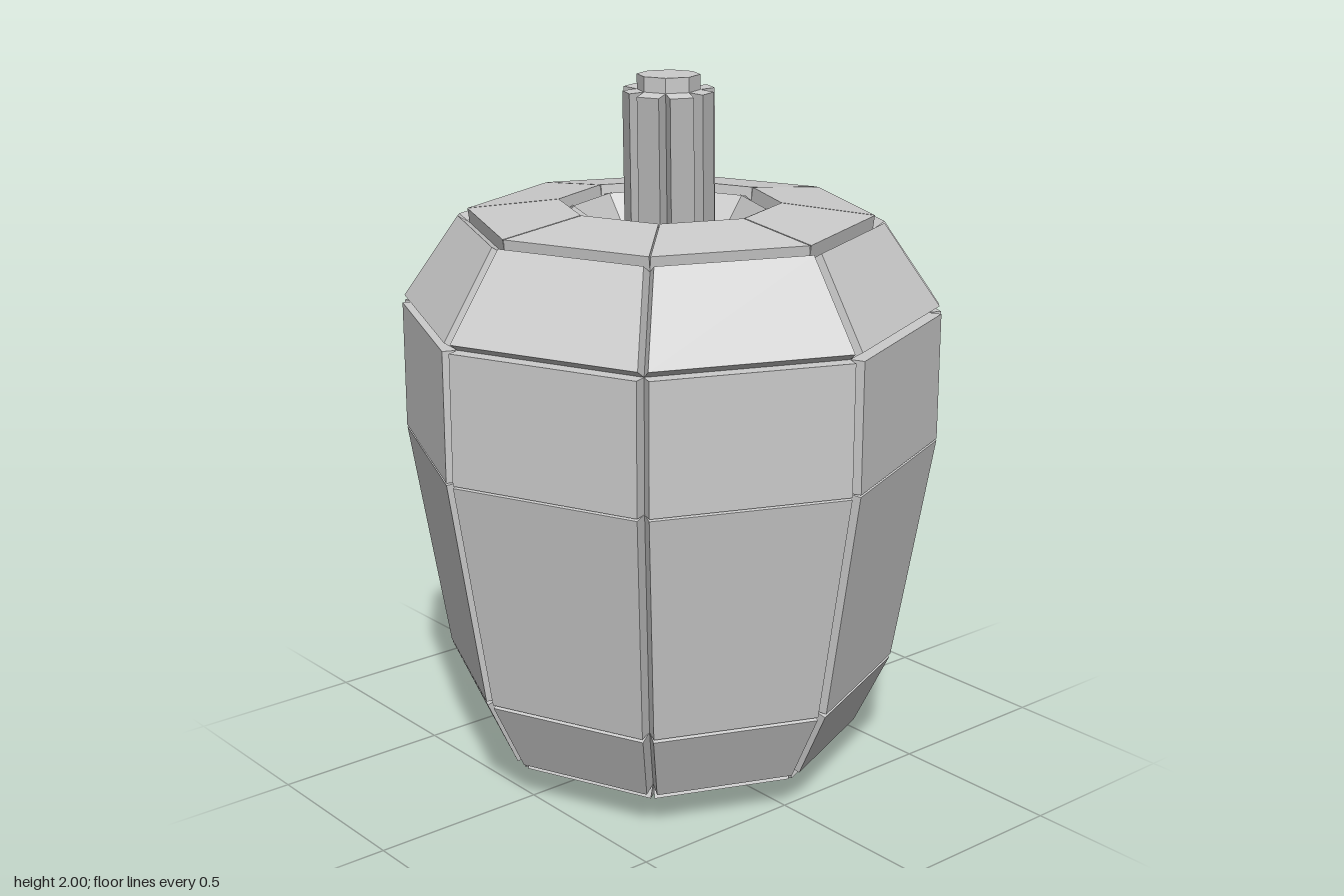
import * as THREE from 'three';

const SIDES = 8;
const THICK = 0.04;
const material = new THREE.MeshStandardMaterial({ color: 0xcccccc, flatShading: true });

// Horizontal octagon of points, counterclockwise from above
function ring(radius, y, cx = 0, cz = 0) {
  return Array.from({ length: SIDES }, (_, k) => {
    const a = (k / SIDES) * Math.PI * 2;
    return new THREE.Vector3(cx + radius * Math.cos(a), y, cz - radius * Math.sin(a));
  });
}

// Push a flat polygon out along its normal: raised face plus side walls
function addPlate(out, points) {
  const pts = points.filter((p, i) => p.distanceTo(points[(i + 1) % points.length]) > 1e-6);
  const n = pts.length;
  const normal = new THREE.Vector3();
  for (let i = 1; i < n - 1; i++) {
    const u = pts[i].clone().sub(pts[0]);
    normal.add(u.cross(pts[i + 1].clone().sub(pts[0])));
  }
  normal.setLength(THICK);
  const top = pts.map((p) => p.clone().add(normal));
  for (let i = 1; i < n - 1; i++) out.push(top[0], top[i], top[i + 1]);
  for (let i = 0; i < n; i++) {
    const j = (i + 1) % n;
    out.push(pts[i], pts[j], top[j], pts[i], top[j], top[i]);
  }
}

function plateMesh(name, polygons) {
  const out = [];
  polygons.forEach((p) => addPlate(out, p));
  const geometry = new THREE.BufferGeometry().setFromPoints(out);
  geometry.computeVertexNormals();
  const mesh = new THREE.Mesh(geometry, material);
  mesh.name = name;
  return mesh;
}

// Eight separate plates between two rings
function band(name, lower, upper) {
  return plateMesh(name, lower.map((p, k) => {
    const j = (k + 1) % SIDES;
    return [p, lower[j], upper[j], upper[k]];
  }));
}

export function createModel() {
  const model = new THREE.Group();
  model.name = 'pumpkin';

  // Body profile: bottom hollow, up the outside, into the top hollow
  const profile = [
    [0, 0.25], [0.255, 0.037], [0.508, 0.128], [0.605, 0.329],
    [0.713, 0.979], [0.713, 1.337], [0.556, 1.566], [0.301, 1.596], [0, 1.17],
  ];
  const names = ['bottomHollow', 'underside', 'lowerTaper', 'lowerWall',
    'upperWall', 'shoulder', 'topRim', 'topHollow'];
  const rings = profile.map(([r, y]) => ring(r, y));
  const body = new THREE.Group();
  body.name = 'body';
  names.forEach((name, i) => body.add(band(name, rings[i], rings[i + 1])));
  model.add(body);

  // Leaning fluted stem with a raised cap
  const stem = new THREE.Group();
  stem.name = 'stem';
  const stemTop = ring(0.084, 1.96, -0.085, 0.097);
  const stemBase = ring(0.088, 1.12, 0.045, -0.045);
  stem.add(band('stemRibs', stemBase, stemTop), plateMesh('stemCap', [stemTop]));
  model.add(stem);

  return model;
}
